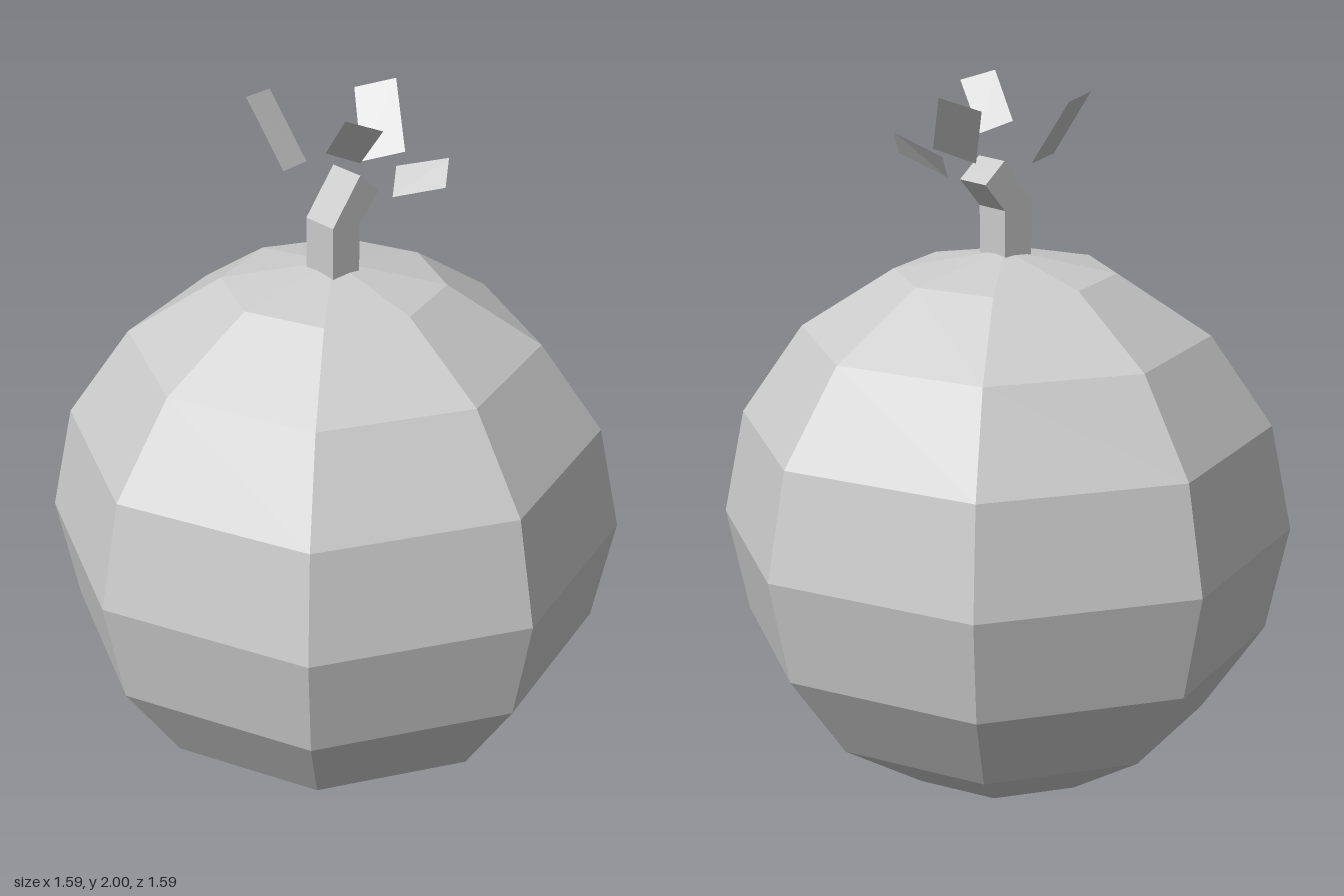
import * as THREE from 'three';

const material = new THREE.MeshStandardMaterial({ color: 0xcccccc, flatShading: true });
const thinMaterial = new THREE.MeshStandardMaterial({
  color: 0xcccccc, flatShading: true, side: THREE.DoubleSide,
});

// Flat four-sided flake from its corners, in order around the edge
function makeFlake(corners) {
  const geometry = new THREE.BufferGeometry();
  geometry.setAttribute('position', new THREE.Float32BufferAttribute(corners.flat(), 3));
  geometry.setIndex([0, 1, 2, 0, 2, 3]);
  geometry.computeVertexNormals();
  return new THREE.Mesh(geometry, thinMaterial);
}

export function createModel() {
  const model = new THREE.Group();
  model.name = 'bomb';

  // Eight-sided, slightly squashed ball
  const body = new THREE.Mesh(new THREE.SphereGeometry(1, 8, 8), material);
  body.name = 'body';
  body.scale.set(0.793, 0.77, 0.793);
  body.position.y = 0.774;
  model.add(body);

  // Bent square fuse, its side outline extruded along z
  const outline = [
    [-0.058, 1.5], [0.033, 1.5], [0.033, 1.66],
    [0.1, 1.738], [0.035, 1.795], [-0.058, 1.67],
  ].map(([x, y]) => new THREE.Vector2(x, y));
  const fuse = new THREE.Mesh(
    new THREE.ExtrudeGeometry(new THREE.Shape(outline), { depth: 0.108, bevelEnabled: false }),
    material,
  );
  fuse.name = 'fuse';
  fuse.position.z = -0.042;
  model.add(fuse);

  // Sparks flying off the fuse tip
  const sparks = new THREE.Group();
  sparks.name = 'sparks';
  const flakes = {
    sparkBackRight: [[-0.136, 1.98, -0.19], [-0.025, 1.968, -0.23], [0, 1.793, -0.11], [-0.11, 1.803, -0.072]],
    sparkFrontRight: [[-0.1, 2, 0.163], [-0.026, 1.973, 0.222], [0.005, 1.846, 0.1], [-0.071, 1.878, 0.052]],
    sparkLeft: [[0.255, 1.984, -0.044], [0.183, 1.952, -0.13], [0.11, 1.793, -0.015], [0.183, 1.828, 0.075]],
    sparkFrontLeft: [[0.195, 1.852, 0.23], [0.157, 1.788, 0.26], [0.1, 1.735, 0.12], [0.145, 1.8, 0.083]],
  };
  for (const [name, corners] of Object.entries(flakes)) {
    const flake = makeFlake(corners);
    flake.name = name;
    sparks.add(flake);
  }
  model.add(sparks);

  return model;
}
